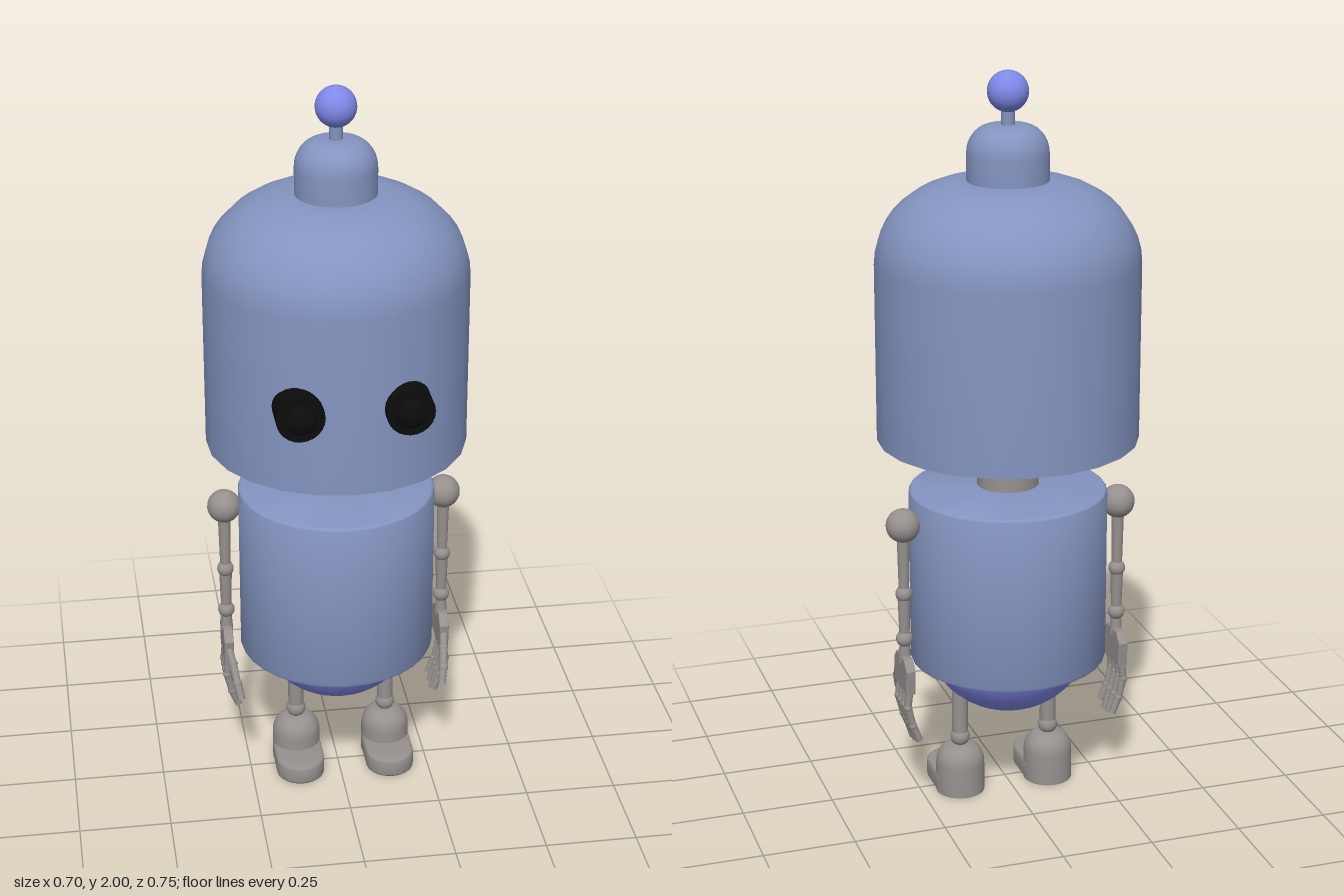
import * as THREE from 'three';
import { toCreasedNormals } from 'three/addons/utils/BufferGeometryUtils.js';

const mat = (color) => new THREE.MeshStandardMaterial({ color });
const blue = mat(0x8494c0), violet = mat(0x8088e8), grey = mat(0x96918f), black = mat(0x0c0c0c);
const AXIS_Z = -0.028;

function add(parent, name, geometry, material, x = 0, y = 0, z = 0) {
  const mesh = new THREE.Mesh(geometry, material);
  mesh.name = name;
  mesh.position.set(x, y, z);
  parent.add(mesh);
  return mesh;
}

// Turned solid from [radius, height] points, sharp only at real corners
function turned(points, sides) {
  const profile = points.map(([r, y]) => new THREE.Vector2(r, y));
  return toCreasedNormals(new THREE.LatheGeometry(profile, sides), 0.7);
}

// Quarter-round points from (r, y) inward and upward
function shoulderCurve(r, y, dr, dy, steps) {
  return Array.from({ length: steps + 1 }, (_, i) => {
    const a = (i / steps) * Math.PI / 2;
    return [r - dr + dr * Math.cos(a), y + dy * Math.sin(a)];
  });
}

const ball = (r) => new THREE.SphereGeometry(r, 20, 14);

// Tapered rod between two points
function rod(parent, name, a, b, ra, rb, material = grey, sides = 12) {
  const p = new THREE.Vector3(...a), q = new THREE.Vector3(...b);
  const mesh = add(parent, name, new THREE.CylinderGeometry(rb, ra, p.distanceTo(q), sides), material);
  mesh.position.copy(p).add(q).multiplyScalar(0.5);
  mesh.quaternion.setFromUnitVectors(new THREE.Vector3(0, 1, 0), q.sub(p).normalize());
  return mesh;
}

function buildHead() {
  const g = new THREE.Group();
  g.name = 'head';
  g.position.z = AXIS_Z;
  add(g, 'headShell', turned([[0, 1.02], [0.35, 1.02], ...shoulderCurve(0.35, 1.5, 0.24, 0.215, 10), [0, 1.715]], 23), blue);
  add(g, 'headCap', turned([[0.108, 1.70], ...shoulderCurve(0.108, 1.785, 0.065, 0.075, 8), [0, 1.86]], 32), blue);
  rod(g, 'antennaStem', [0, 1.85, 0], [0, 1.91, 0], 0.018, 0.018, blue);
  add(g, 'antennaBall', new THREE.SphereGeometry(0.054, 32, 20), violet, 0, 1.946, 0);
  add(g, 'neck', new THREE.CylinderGeometry(0.083, 0.083, 0.14, 32), grey, 0, 0.955, 0);
  return g;
}

function buildEye(x) {
  const g = new THREE.Group();
  g.name = x > 0 ? 'leftEye' : 'rightEye';
  g.position.set(x, 1.255, 0);
  rod(g, 'eyeSocket', [0, 0, 0.2], [0, 0, 0.342], 0.063, 0.063, black, 24);
  const lens = add(g, 'eyeLens', ball(0.041), black, 0, 0, 0.342);
  lens.scale.z = 0.8;
  return g;
}

function buildTorso() {
  const g = new THREE.Group();
  g.name = 'torso';
  g.position.z = AXIS_Z;
  add(g, 'torsoShell', turned([
    [0, 0.39], [0.225, 0.39], [0.235, 0.386], [0.258, 0.386], [0.265, 0.389], [0.268, 0.396],
    ...shoulderCurve(0.268, 0.863, 0.012, 0.012, 4), [0, 0.875],
  ], 32), blue);
  add(g, 'pelvisDome', new THREE.SphereGeometry(0.236, 32, 12, 0, Math.PI * 2, Math.PI * 0.6, Math.PI * 0.4), violet, 0, 0.471, 0);
  return g;
}

// Chain of rods with a small ball at every inner joint
function digit(parent, name, points, r) {
  const g = new THREE.Group();
  g.name = name;
  for (let i = 0; i < points.length - 1; i++) {
    rod(g, 'segment', points[i], points[i + 1], r, r * 0.9, grey, 8);
    if (i) add(g, 'knuckle', new THREE.SphereGeometry(r * 1.1, 10, 8), grey, ...points[i]);
  }
  parent.add(g);
}

// Arm on the +x side; mirrored by side, hand curling slightly inward
function buildArm(side) {
  const g = new THREE.Group();
  g.name = side > 0 ? 'leftArm' : 'rightArm';
  const z = -0.063, at = (x, y, dz = 0) => [side * x, y, z + dz];
  add(g, 'shoulder', ball(0.046), grey, ...at(0.304, 0.81));
  rod(g, 'upperArm', at(0.304, 0.8), at(0.304, 0.615), 0.018, 0.014);
  add(g, 'elbow', ball(0.023), grey, ...at(0.304, 0.615));
  rod(g, 'forearm', at(0.304, 0.615), at(0.304, 0.485), 0.018, 0.014);
  add(g, 'wrist', ball(0.023), grey, ...at(0.304, 0.485));
  rod(g, 'handStem', at(0.304, 0.485), at(0.304, 0.42), 0.013, 0.018);

  // Palm outline in the side plane, narrowing to the wrist
  const outline = new THREE.Shape([
    [-0.054, -0.045], [0.054, -0.045], [0.06, 0.02], [0.035, 0.045], [-0.035, 0.045], [-0.06, 0.02],
  ].map(([u, v]) => new THREE.Vector2(u, v)));
  const palmGeometry = new THREE.ExtrudeGeometry(outline, {
    depth: 0.02, bevelEnabled: true, bevelSize: 0.003, bevelThickness: 0.003, bevelSegments: 2,
  }).translate(0, 0, -0.01);
  add(g, 'palm', palmGeometry, grey, ...at(0.304, 0.39)).rotation.y = Math.PI / 2;

  [0.045, 0.015, -0.015, -0.045].forEach((dz, i) => {
    const tip = [0.2, 0.185, 0.19, 0.2][i];
    digit(g, 'finger', [at(0.304, 0.36, dz), at(0.31, 0.30, dz * 1.03), at(0.297, 0.245, dz * 1.03), at(0.279, tip, dz * 1.03)], 0.011);
  });
  digit(g, 'thumb', [at(0.304, 0.385, 0.05), at(0.297, 0.36, 0.09), at(0.29, 0.32, 0.13), at(0.282, 0.28, 0.152)], 0.012);
  return g;
}

function buildLeg(x) {
  const g = new THREE.Group();
  g.name = x > 0 ? 'leftLeg' : 'rightLeg';
  g.position.set(x, 0, -0.038);
  rod(g, 'shin', [0, 0.17, 0], [0, 0.37, 0], 0.022, 0.022, grey, 16);
  add(g, 'ankle', ball(0.027), grey, 0, 0.16, 0);
  add(g, 'boot', turned([[0, 0], [0.067, 0], ...shoulderCurve(0.067, 0.085, 0.045, 0.055, 8), [0, 0.14]], 28), grey);

  // Rounded toe reaching forward, with a softened upper edge
  const r = 0.059;
  const sole = new THREE.Shape();
  sole.moveTo(-r, 0);
  sole.lineTo(r, 0);
  sole.lineTo(r, 0.09);
  sole.absarc(0, 0.09, r, 0, Math.PI, false);
  sole.lineTo(-r, 0);
  const toe = new THREE.ExtrudeGeometry(sole, {
    depth: 0.039, bevelEnabled: true, bevelSize: 0.008, bevelThickness: 0.008, bevelSegments: 3, curveSegments: 16,
  });
  toe.rotateX(Math.PI / 2);
  add(g, 'toe', toCreasedNormals(toe, 0.6), grey, 0, 0.047, 0);
  return g;
}

export function createModel() {
  const model = new THREE.Group();
  model.name = 'robot';
  model.add(buildHead(), buildTorso());
  model.add(buildEye(0.138), buildEye(-0.143));
  for (const side of [1, -1]) model.add(buildArm(side));
  for (const x of [0.142, -0.114]) model.add(buildLeg(x));
  return model;
}
